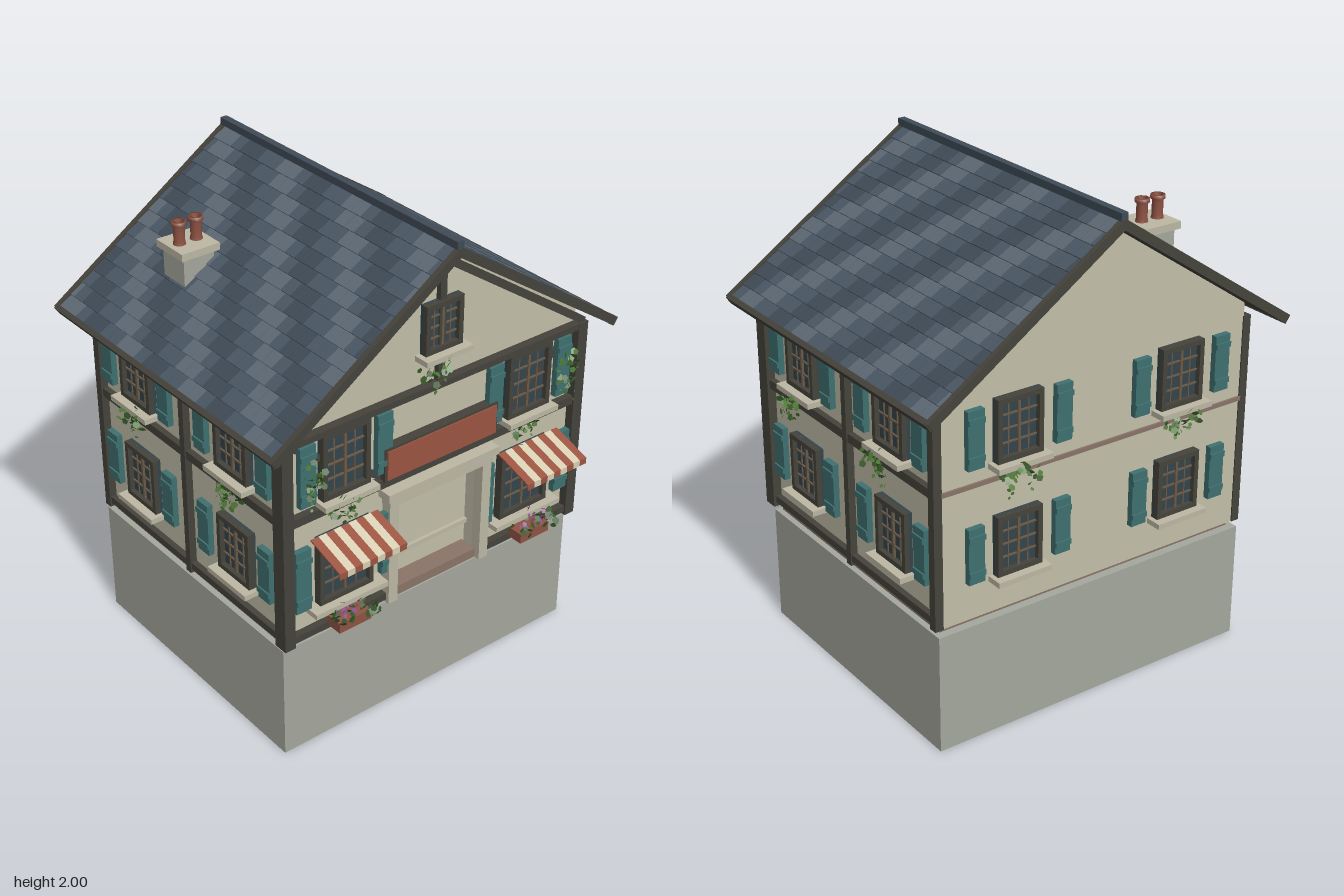
import * as THREE from 'three';
import { mergeGeometries } from 'three/addons/utils/BufferGeometryUtils.js';

const mat = (color, side = THREE.FrontSide) => {
  const m = new THREE.MeshStandardMaterial({ side });
  m.color.set(color);
  return m;
};
const M = {
  wall: mat(0xc2bfa9), stone: mat(0xa5a89e), trim: mat(0xbdb8a4), timber: mat(0x45433b),
  teal: mat(0x3f7070), glass: mat(0x33454c), bar: mat(0x6b5a48), red: mat(0x9b5440),
  plinth: mat(0x8a7468), cream: mat(0xd8cfb4), pot: mat(0x8f5344),
  leaf: mat(0x4f7a35, THREE.DoubleSide), leafDark: mat(0x38592a, THREE.DoubleSide),
  flower: mat(0x9a5a9a, THREE.DoubleSide),
  slates: [mat(0x3f4b57), mat(0x4a5764), mat(0x5d6974)],
};

let seed = 7;
const rnd = () => (seed = (seed * 16807) % 2147483647) / 2147483647;

function add(parent, name, geo, material, x = 0, y = 0, z = 0) {
  const m = new THREE.Mesh(geo, material);
  m.name = name;
  m.position.set(x, y, z);
  parent.add(m);
  return m;
}
// Box given by its low and high corners
function box(parent, name, material, x0, x1, y0, y1, z0, z1) {
  return add(parent, name, new THREE.BoxGeometry(x1 - x0, y1 - y0, z1 - z0), material,
    (x0 + x1) / 2, (y0 + y1) / 2, (z0 + z1) / 2);
}
// Straight timber between two points on a facade
function beam(parent, name, x0, y0, x1, y1, width, z0, z1) {
  const b = add(parent, name, new THREE.BoxGeometry(Math.hypot(x1 - x0, y1 - y0), width, z1 - z0),
    M.timber, (x0 + x1) / 2, (y0 + y1) / 2, (z0 + z1) / 2);
  b.rotation.z = Math.atan2(y1 - y0, x1 - x0);
}

// Window with frame, glazing bars, sill and optional louvred shutters, on the local z = 0 plane
function windowUnit(parent, x, y0, y1, w, sillW, shutter) {
  const g = new THREE.Group();
  g.name = 'window';
  g.position.set(x, (y0 + y1) / 2, 0);
  parent.add(g);
  const h = y1 - y0, a = w / 2, b = h / 2, t = 0.02;
  box(g, 'glass', M.glass, -a, a, -b, b, 0, 0.014);
  for (const s of [-1, 1]) {
    add(g, 'frameSide', new THREE.BoxGeometry(t, h, 0.035), M.timber, s * (a - t / 2), 0, 0.0175);
    add(g, 'frameRail', new THREE.BoxGeometry(w, t, 0.035), M.timber, 0, s * (b - t / 2), 0.0175);
    add(g, 'thinBar', new THREE.BoxGeometry(0.005, h, 0.006), M.bar, s * w * 0.22, 0, 0.016);
  }
  add(g, 'mullion', new THREE.BoxGeometry(0.011, h - t, 0.012), M.bar, 0, 0, 0.018);
  for (const f of [-0.22, 0, 0.22])
    add(g, 'glazingBar', new THREE.BoxGeometry(w - t, 0.006, 0.008), M.bar, 0, f * h, 0.017);
  box(g, 'sill', M.trim, -sillW / 2, sillW / 2, -b - 0.022, -b, 0, 0.07);
  if (shutter) for (const s of [-1, 1]) {
    const sh = h * 0.92;
    add(g, 'shutter', new THREE.BoxGeometry(0.07, sh, 0.025), M.teal, s * shutter, 0, 0.0225);
    for (const f of [-0.32, 0.32])
      add(g, 'shutterBatten', new THREE.BoxGeometry(0.07, 0.022, 0.01), M.teal, s * shutter, f * sh, 0.037);
  }
}

// Cluster of small leaves filling a box
function foliage(parent, name, material, n, x, y, z, w, h, d, r = 0.013) {
  const leaves = [];
  for (let i = 0; i < n; i++) {
    const l = new THREE.CircleGeometry(r * (0.7 + 0.6 * rnd()), 5);
    l.rotateX((rnd() - 0.5) * 2).rotateY((rnd() - 0.5) * 2);
    const u = rnd() - 0.5;
    l.translate(u * w, (rnd() - 0.5) * h * (1 - Math.abs(u)), (rnd() - 0.5) * d);
    leaves.push(l);
  }
  add(parent, name, mergeGeometries(leaves), material, x, y, z);
}
function vine(parent, x, y, w, h, z = 0.05) {
  foliage(parent, 'vine', M.leaf, 16, x, y, z, w, h, 0.05);
  foliage(parent, 'vineShade', M.leafDark, 14, x, y - 0.01, z, w, h, 0.05);
  for (let i = 0; i < 2; i++)
    foliage(parent, 'hangingVine', M.leaf, 5, x + (rnd() - 0.5) * w * 0.7, y - h * 0.4, z, 0.02, h, 0.03, 0.008);
}

// House outline with gable, optionally with a doorway, extruded from z0 to z1
function bodySlice(parent, name, z0, z1, door) {
  const s = new THREE.Shape([[-0.7, 0.52], [0.7, 0.52], [0.7, 1.465], [0, 1.94], [-0.7, 1.465]]
    .map(p => new THREE.Vector2(...p)));
  if (door) s.holes.push(new THREE.Path([[-0.22, 0.53], [-0.22, 0.98], [0.22, 0.98], [0.22, 0.53]]
    .map(p => new THREE.Vector2(...p))));
  add(parent, name, new THREE.ExtrudeGeometry(s, { depth: z1 - z0, bevelEnabled: false }), M.wall, 0, 0, z0);
}

function buildFront(house) {
  const g = new THREE.Group();
  g.name = 'frontFacade';
  g.position.z = 0.56;
  house.add(g);
  beam(g, 'middleBeam', -0.71, 1.068, 0.71, 1.068, 0.036, 0, 0.03);
  beam(g, 'topBeam', -0.73, 1.397, 0.73, 1.397, 0.026, 0, 0.035);
  beam(g, 'kingPost', 0, 1.4, 0, 1.93, 0.03, 0, 0.022);
  windowUnit(g, 0, 1.54, 1.74, 0.175, 0.22, 0);
  vine(g, -0.05, 1.49, 0.13, 0.12);
  for (const s of [-1, 1]) {
    beam(g, 'bottomBeam', s * 0.25, 0.548, s * 0.7, 0.548, 0.03, 0, 0.03);
    beam(g, 'gableTimber', 0, 1.905, s * 0.72, 1.412, 0.03, 0, 0.03);
    beam(g, 'brace', s * 0.69, 1.385, s * 0.25, 1.08, 0.026, 0, 0.014);
    windowUnit(g, s * 0.445, 1.11, 1.385, 0.215, 0.25, 0.175);
    windowUnit(g, s * 0.445, 0.655, 0.95, 0.25, 0.34, 0.2);
    // Doorcase
    box(g, 'pilaster', M.trim, s * 0.23 - 0.022, s * 0.23 + 0.022, 0.52, 0.97, 0, 0.045);
    // Striped awning with a short valance
    for (let i = 0; i < 9; i++) {
      const c = i % 2 ? M.cream : M.red, w = 0.31 / 9, x = s * 0.455 + (i - 4) * w;
      const a = add(g, 'awningStripe', new THREE.BoxGeometry(w, 0.006, 0.179), c, x, 0.941, 0.115);
      a.rotation.x = Math.atan2(0.055, 0.17);
      box(g, 'valanceStripe', c, x - w / 2, x + w / 2, 0.89, 0.915, 0.197, 0.201);
    }
    // Flower box
    const px = s * 0.445 - 0.02 * (s < 0 ? 1 : 0);
    box(g, 'flowerBox', M.pot, px - 0.075, px + 0.075, 0.56, 0.603, 0.04, 0.11);
    foliage(g, 'boxPlants', M.leafDark, 45, px, 0.62, 0.085, 0.23, 0.05, 0.13, 0.015);
    foliage(g, 'boxFlowers', M.flower, 18, px, 0.64, 0.085, 0.16, 0.05, 0.08, 0.01);
    // Climbing greenery
    vine(g, s < 0 ? -0.48 : 0.41, 1.075, 0.16, 0.1);
    vine(g, s * (s < 0 ? 0.6 : 0.64), 1.24, 0.09, 0.19);
  }
  box(g, 'lintel', M.trim, -0.255, 0.255, 0.965, 1.002, 0, 0.05);
  box(g, 'cornice', M.trim, -0.272, 0.272, 1.002, 1.035, 0, 0.065);
  box(g, 'doorStep', M.plinth, -0.21, 0.21, 0.52, 0.56, -0.06, 0.02);
  box(g, 'doorRail', M.trim, -0.22, 0.22, 0.645, 0.665, -0.06, -0.045);
  box(g, 'signFrame', M.timber, -0.275, 0.275, 1.08, 1.222, 0, 0.04);
  box(g, 'signPanel', M.red, -0.265, 0.265, 1.09, 1.212, 0.02, 0.046);
}

function buildSide(house, s) {
  const g = new THREE.Group();
  g.name = s > 0 ? 'leftFacade' : 'rightFacade';
  g.position.x = s * 0.7;
  g.rotation.y = s * Math.PI / 2;
  house.add(g);
  const X = z => -s * z; // world z to facade x
  for (const [y, w] of [[0.552, 0.03], [1.068, 0.036], [1.4, 0.025]])
    beam(g, 'sideBeam', X(0.56), y, X(-0.62), y, w, 0, 0.025);
  beam(g, 'middlePost', X(-0.04), 0.52, X(-0.04), 1.4, 0.03, 0, 0.03);
  for (const z of [0.275, -0.35]) {
    windowUnit(g, X(z), 1.135, 1.385, 0.2, 0.24, 0.193);
    windowUnit(g, X(z), 0.675, 0.92, 0.2, 0.24, 0.193);
    vine(g, X(z + 0.03), 1.09, 0.15, 0.1, 0.07);
  }
}

function buildBack(house) {
  const g = new THREE.Group();
  g.name = 'backFacade';
  g.position.z = -0.635;
  g.rotation.y = Math.PI;
  house.add(g);
  box(g, 'beltCourse', M.plinth, -0.7, 0.7, 1.058, 1.076, 0, 0.008);
  for (const x of [-0.375, 0.375]) {
    windowUnit(g, x, 1.135, 1.385, 0.2, 0.24, 0.193);
    windowUnit(g, x, 0.675, 0.92, 0.2, 0.24, 0.193);
    vine(g, x - 0.02, 1.09, 0.15, 0.1, 0.06);
  }
}

function buildRoof(house) {
  const roof = new THREE.Group();
  roof.name = 'roof';
  roof.position.set(0, 1.963, -0.045);
  house.add(roof);
  const angle = Math.atan(0.673), L = 0.985, half = 0.705, rows = 15, cols = 24;
  for (const s of [-1, 1]) {
    const side = new THREE.Group();
    side.name = 'roofSlope';
    side.rotation.z = -s * angle;
    roof.add(side);
    add(side, 'roofDeck', new THREE.BoxGeometry(L, 0.02, half * 2), M.timber, s * L / 2, -0.012, 0);
    for (const e of [-1, 1])
      add(side, 'bargeBoard', new THREE.BoxGeometry(L, 0.036, 0.022), M.timber, s * L / 2, -0.004, e * 0.7);
    add(side, 'eavesBoard', new THREE.BoxGeometry(0.022, 0.036, half * 2), M.timber, s * (L - 0.005), -0.006, 0);
    // Overlapping slates in staggered rows, shaded in diagonal bands
    const shades = [[], [], []], rowL = (L - 0.015) / rows, cw = 1.385 / cols;
    for (let r = 0; r < rows; r++) for (let c = 0; c <= cols; c++) {
      const z0 = Math.max(0, (c - (r % 2) / 2) * cw), z1 = Math.min(1.385, (c + 1 - (r % 2) / 2) * cw);
      if (z1 - z0 < 0.005) continue;
      const t = new THREE.BoxGeometry(rowL * 1.1, 0.006, z1 - z0 - 0.002);
      t.rotateZ(s * 0.08);
      t.translate(s * (r + 0.5) * rowL, 0.005, (z0 + z1) / 2 - 0.6925);
      shades[[2, 2, 1, 0, 0, 1, 1][(c - r + 70) % 7]].push(t);
    }
    shades.forEach((list, i) => add(side, 'slates', mergeGeometries(list), M.slates[i]));
  }
  add(roof, 'ridgeCap', new THREE.BoxGeometry(0.03, 0.03, half * 2 + 0.005), M.slates[0], 0, 0.022, 0);
}

function buildChimney(house) {
  const g = new THREE.Group();
  g.name = 'chimney';
  g.position.set(-0.468, 0, -0.333);
  house.add(g);
  box(g, 'stack', M.stone, -0.068, 0.068, 1.5, 1.735, -0.068, 0.068);
  box(g, 'cap', M.trim, -0.085, 0.085, 1.73, 1.76, -0.085, 0.085);
  const profile = [[0.026, 0], [0.022, 0.015], [0.022, 0.075], [0.029, 0.08], [0.029, 0.095], [0.017, 0.095], [0.017, 0.02], [0, 0.02]];
  for (const x of [-0.038, 0.038])
    add(g, 'chimneyPot', new THREE.LatheGeometry(profile.map(p => new THREE.Vector2(...p)), 14), M.pot, x, 1.758, 0);
}

export function createModel() {
  const house = new THREE.Group();
  house.name = 'timberFramedHouse';
  box(house, 'foundation', M.stone, -0.72, 0.72, 0, 0.493, -0.645, 0.56);
  box(house, 'plinth', M.plinth, -0.695, 0.695, 0.49, 0.525, -0.61, 0.54);
  bodySlice(house, 'houseBody', -0.635, 0.5, false);
  bodySlice(house, 'frontWall', 0.5, 0.56, true);
  for (const s of [-1, 1]) {
    box(house, 'frontCornerPost', M.timber, s * 0.712 - 0.024, s * 0.712 + 0.024, 0.52, 1.41, 0.535, 0.597);
    box(house, 'backCornerPost', M.timber, s * 0.714 - 0.018, s * 0.714 + 0.018, 0.52, 1.41, -0.64, -0.605);
    buildSide(house, s);
  }
  buildFront(house);
  buildBack(house);
  buildRoof(house);
  buildChimney(house);
  return house;
}
